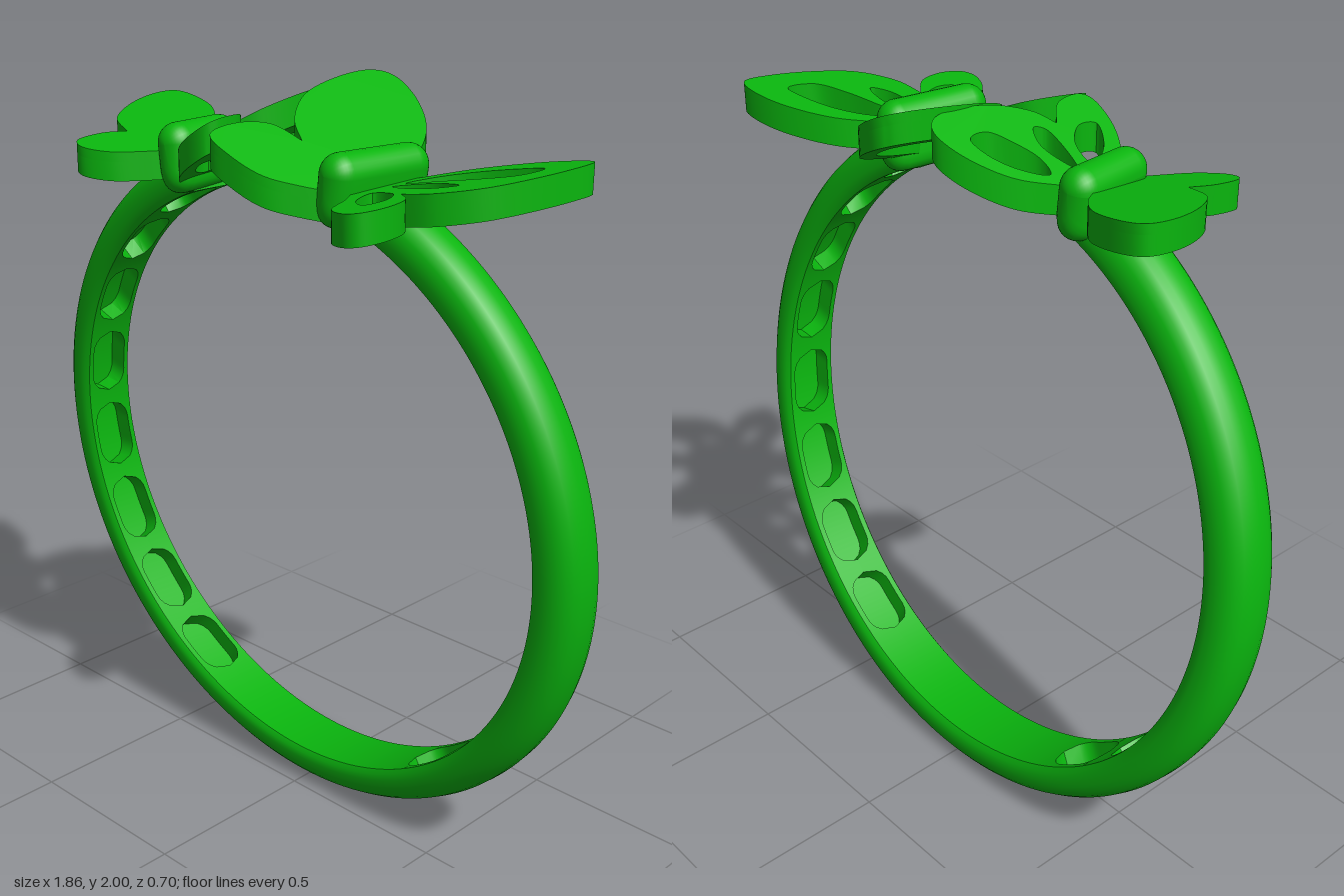
import * as THREE from 'three';
import { toCreasedNormals } from 'three/addons/utils/BufferGeometryUtils.js';

const material = new THREE.MeshStandardMaterial({ color: 0x0ab50e });

function addMesh(parent, geometry, name) {
  const mesh = new THREE.Mesh(geometry, material);
  mesh.name = name;
  parent.add(mesh);
  return mesh;
}

// ---- open band: D-shaped section swept round, with rounded slots sunk in the inner face
const CENTER = 0.93, INNER = 0.82, THICK = 0.11, END = 161;

// half width of the slot (share of the band's) at an angle in degrees from the bottom, or -1 outside any slot
function slotWidth(deg) {
  const half = 7, round = 4, width = 0.7;
  for (let i = 0; i < 8; i++) {
    const e = Math.abs(Math.abs(deg) - (34 + 17 * i));
    if (e > half) continue;
    const k = Math.max(0, e - (half - round)) / round;
    return width * Math.sqrt(1 - k * k);
  }
  return -1;
}

function bandSection(deg) {
  const t = THREE.MathUtils.degToRad(deg);
  const slot = slotWidth(deg), w = Math.max(0, slot), d = slot < 0 ? 0 : 0.055;
  const place = (u, h) => {
    const r = INNER + h;
    const y = CENTER - r * Math.cos(t);
    const halfWidth = 0.096 - 0.012 * y;
    return [r * Math.sin(t), y, -0.115 + 0.085 * y + u * halfWidth];
  };
  const points = [[-0.88, 0], [-w, 0], [-w, d], [w, d], [w, 0], [0.88, 0], [0.97, 0.012]];
  for (let k = 0; k <= 12; k++) {
    const a = Math.PI * k / 12, c = Math.cos(a);
    points.push([Math.sign(c) * Math.abs(c) ** 0.8, 0.03 + (THICK - 0.03) * Math.max(0, Math.sin(a)) ** 0.9]);
  }
  points.push([-0.97, 0.012]);
  return { loop: points.map(p => place(...p)), middle: place(0, 0.05) };
}

function bandGeometry() {
  const pos = [], rows = [];
  for (let deg = -END; deg <= END; deg++) rows.push(bandSection(deg));
  const tri = (...corners) => corners.forEach(c => pos.push(...c));
  const n = rows[0].loop.length, first = rows[0], last = rows[rows.length - 1];
  for (let j = 0; j < n; j++) {
    const k = (j + 1) % n;
    for (let i = 0; i + 1 < rows.length; i++) {
      const a = rows[i].loop, b = rows[i + 1].loop;
      tri(a[j], a[k], b[j]);
      tri(b[j], a[k], b[k]);
    }
    tri(last.middle, last.loop[j], last.loop[k]);
    tri(first.middle, first.loop[k], first.loop[j]);
  }
  const geometry = new THREE.BufferGeometry();
  geometry.setAttribute('position', new THREE.Float32BufferAttribute(pos, 3));
  return toCreasedNormals(geometry, 0.6);
}

// ---- wings: plan outlines given as x, z pairs
const pairs = flat => {
  const out = [];
  for (let i = 0; i < flat.length; i += 2) out.push(new THREE.Vector2(flat[i], -flat[i + 1]));
  return out;
};

// smooth hole outline, always counter-clockwise so its walls face into the opening
function holePath(points) {
  const curve = new THREE.CatmullRomCurve3(points.map(p => new THREE.Vector3(p.x, p.y, 0)), true);
  const outline = curve.getPoints(40).slice(0, 40).map(p => new THREE.Vector2(p.x, p.y));
  if (THREE.ShapeUtils.isClockWise(outline)) outline.reverse();
  return new THREE.Path(outline);
}

// shrinks a lobe about its middle, for the hollow under a solid wing
function inset(points, k) {
  const mid = points.reduce((m, p) => m.add(p), new THREE.Vector2()).divideScalar(points.length);
  return points.map(p => p.clone().sub(mid).multiplyScalar(k).add(mid));
}

function wingSlab(fore, hind, holes, plane, from, to) {
  const shape = new THREE.Shape();
  shape.moveTo(fore[0].x, fore[0].y);
  shape.splineThru(fore.slice(1));
  shape.splineThru(hind);
  shape.lineTo(fore[0].x, fore[0].y);
  shape.holes = holes.map(holePath);
  const geometry = new THREE.ExtrudeGeometry(shape, { depth: to - from, bevelEnabled: false, curveSegments: 5 });
  geometry.rotateX(-Math.PI / 2);
  // tilt the slab onto its plane
  const p = geometry.attributes.position;
  const [x0, y0, z0, a, b] = plane;
  for (let i = 0; i < p.count; i++) {
    p.setY(i, p.getY(i) + from + y0 + a * (p.getX(i) - x0) + b * (p.getZ(i) - z0));
  }
  return toCreasedNormals(geometry, 0.6);
}

function addWing(parent, name, { fore, hind, holes, plane }) {
  const f = pairs(fore), h = pairs(hind), T = 0.0375;
  if (holes) {
    addMesh(parent, wingSlab(f, h, holes.map(pairs), plane, -T, T), name);
  } else {
    const hollows = [inset(f, 0.74), inset([f[f.length - 1], ...h], 0.6)];
    addMesh(parent, wingSlab(f, h, hollows, plane, -T, 0.012), name + 'Rim');
    addMesh(parent, wingSlab(f, h, [], plane, 0.012, T), name + 'Top');
  }
}

// body: capsule with its underside drawn down to meet the band
function addBody(parent, x, z, length, yaw, roll) {
  const r = 0.052;
  const geometry = new THREE.CapsuleGeometry(r, length - 2 * r, 10, 24).rotateX(Math.PI / 2);
  const p = geometry.attributes.position;
  for (let i = 0; i < p.count; i++) {
    const y = p.getY(i);
    if (y < -1e-6) p.setY(i, -0.13 * Math.min(1, -y / r) ** 0.35);
  }
  geometry.computeVertexNormals();
  const body = addMesh(parent, geometry, 'butterflyBody');
  body.position.set(x, 1.83, z);
  body.rotation.set(0, yaw, roll);
}

const smallSolidWing = {
  fore: [-0.32, 0.05, -0.36, -0.04, -0.42, -0.12, -0.5, -0.18, -0.6, -0.2, -0.66, -0.18, -0.67, -0.1,
    -0.64, 0, -0.58, 0.09, -0.49, 0.13],
  hind: [-0.52, 0.19, -0.52, 0.27, -0.47, 0.295, -0.4, 0.26, -0.35, 0.19, -0.31, 0.12],
  plane: [-0.34, 1.785, 0.04, -0.16, -0.095],
};
const smallPiercedWing = {
  fore: [-0.3, 0.05, -0.27, -0.06, -0.23, -0.17, -0.16, -0.25, -0.09, -0.28, -0.05, -0.24, -0.04, -0.14,
    -0.05, -0.05, -0.08, 0.03, -0.12, 0.07],
  hind: [-0.07, 0.12, -0.055, 0.2, -0.08, 0.235, -0.15, 0.23, -0.22, 0.19, -0.3, 0.11],
  holes: [
    [-0.24, -0.06, -0.21, -0.14, -0.16, -0.19, -0.12, -0.2, -0.11, -0.14, -0.15, -0.09, -0.2, -0.055],
    [-0.24, 0.025, -0.17, -0.025, -0.12, -0.005, -0.13, 0.025, -0.18, 0.035],
    [-0.235, 0.075, -0.18, 0.075, -0.135, 0.13, -0.14, 0.185, -0.2, 0.15],
  ],
  plane: [-0.27, 1.78, 0.04, 0.59, -0.1],
};
const largeSolidWing = {
  fore: [0.3, 0.05, 0.285, -0.05, 0.26, -0.17, 0.2, -0.27, 0.11, -0.335, 0.02, -0.355, -0.03, -0.31,
    -0.045, -0.2, -0.03, -0.07, 0.03, 0.03, 0.1, 0.075],
  hind: [0.02, 0.1, -0.02, 0.18, -0.015, 0.27, 0.06, 0.28, 0.15, 0.26, 0.22, 0.2, 0.29, 0.12],
  plane: [0.27, 1.765, 0.05, -0.47, -0.15],
};
const largePiercedWing = {
  fore: [0.3, 0.05, 0.36, -0.06, 0.44, -0.17, 0.55, -0.24, 0.65, -0.265, 0.72, -0.25, 0.725, -0.17,
    0.7, -0.05, 0.65, 0.06, 0.56, 0.125, 0.47, 0.135],
  hind: [0.53, 0.19, 0.55, 0.27, 0.53, 0.335, 0.48, 0.345, 0.41, 0.3, 0.36, 0.2, 0.3, 0.11],
  holes: [
    [0.375, 0.01, 0.41, -0.07, 0.48, -0.13, 0.57, -0.165, 0.64, -0.17, 0.63, -0.09, 0.55, -0.045, 0.45, -0.015],
    [0.37, 0.05, 0.46, 0.01, 0.55, 0.03, 0.51, 0.062, 0.44, 0.07],
    [0.375, 0.125, 0.44, 0.13, 0.48, 0.2, 0.465, 0.255, 0.405, 0.215],
  ],
  plane: [0.33, 1.76, 0.03, 0.14, -0.05],
};

export function createModel() {
  const model = new THREE.Group();
  model.name = 'butterflyRing';
  addMesh(model, bandGeometry(), 'band');

  const small = new THREE.Group();
  small.name = 'smallButterfly';
  addWing(small, 'solidWing', smallSolidWing);
  addWing(small, 'piercedWing', smallPiercedWing);
  addBody(small, -0.31, 0.04, 0.26, 0.1, 0.1);

  const large = new THREE.Group();
  large.name = 'largeButterfly';
  addWing(large, 'solidWing', largeSolidWing);
  addWing(large, 'piercedWing', largePiercedWing);
  addBody(large, 0.295, 0.03, 0.31, -0.13, -0.14);

  model.add(small, large);
  return model;
}
